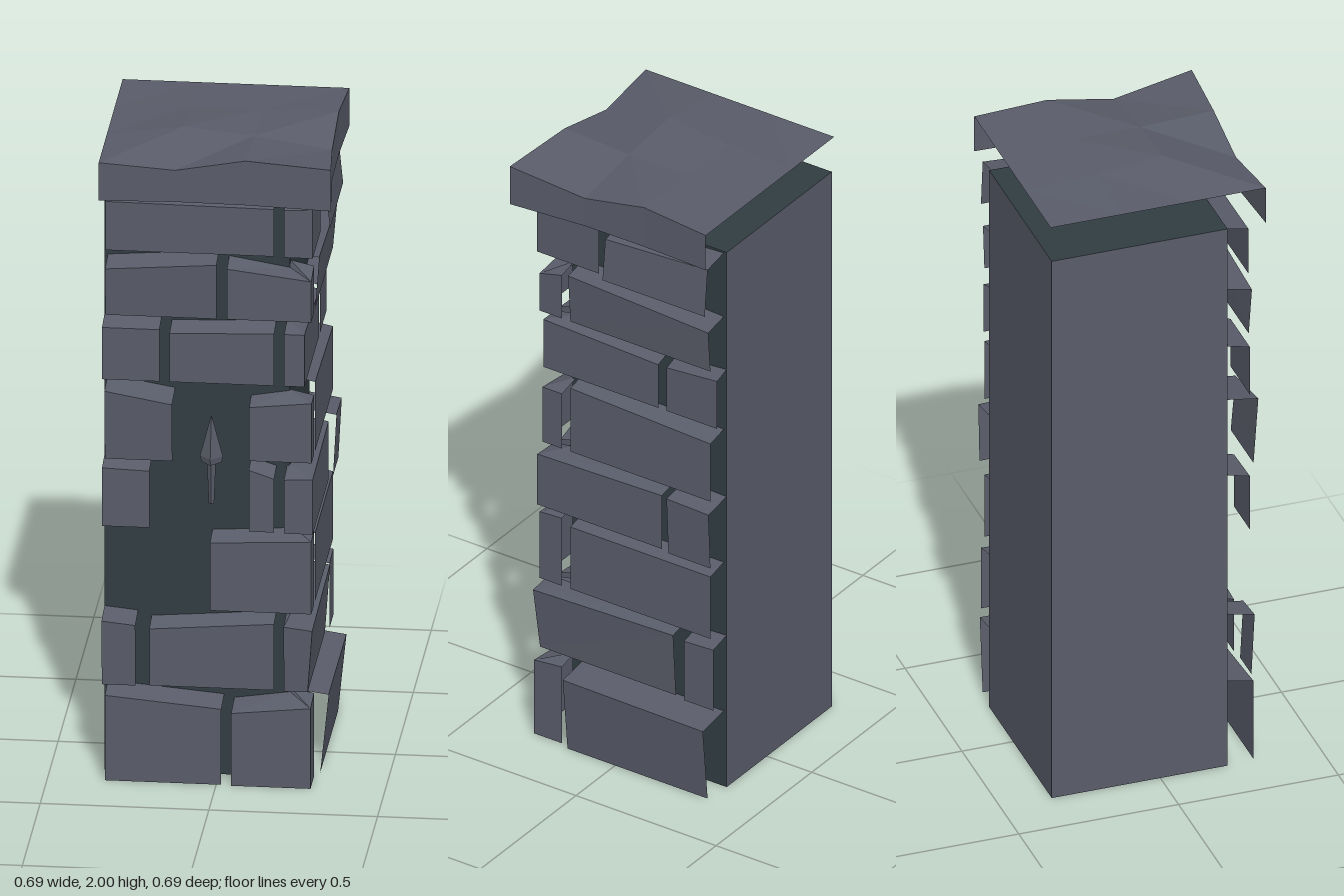
import * as THREE from 'three';

const stone = new THREE.MeshStandardMaterial({ color: 0x595c69, side: THREE.DoubleSide, flatShading: true });
stone.name = 'grey stone';
const mortar = new THREE.MeshStandardMaterial({ color: 0x313d42, side: THREE.DoubleSide, flatShading: true });
mortar.name = 'dark mortar';

const WALL = 0.21; // outer faces of the core on +x and +z
const BACK = -0.34;

// Flat-shaded surface from a list of four-cornered faces
function quads(list, material, name) {
  const pos = [];
  for (const [a, b, c, d] of list) pos.push(...a, ...b, ...c, ...a, ...c, ...d);
  const g = new THREE.BufferGeometry();
  g.setAttribute('position', new THREE.Float32BufferAttribute(pos, 3));
  g.computeVertexNormals();
  const mesh = new THREE.Mesh(g, material);
  mesh.name = name;
  return mesh;
}

// Open brick shell along a plan path of [x, z, topHeight]; its top slopes up to the core.
// lean pushes the upper edge outwards.
function brick(y0, path, lean = 0) {
  const faces = [];
  const low = ([x, z]) => [x, y0, z];
  const high = ([x, z, y]) => [x + (x > 0.22 ? lean : 0), y - 0.016, z + (z > 0.22 ? lean : 0)];
  const inner = ([x, z, y]) => [Math.min(x, WALL), y, Math.min(z, WALL)];
  for (let i = 0; i < path.length - 1; i++) {
    const a = path[i], b = path[i + 1];
    faces.push([low(a), low(b), high(b), high(a)]);
    faces.push([high(a), high(b), inner(b), inner(a)]);
  }
  return quads(faces, stone, 'brick');
}

// Front brick: x range and top heights; side brick: z range and top heights
const front = (y, x0, t0, x1, t1, z = 0.28, lean = 0) => brick(y, [[x0, z, t0], [x1, z, t1]], lean);
const side = (y, z0, t0, z1, t1, x = 0.28, lean = 0) => brick(y, [[x, z0, t0], [x, z1, t1]], lean);
// Corner brick wrapping from the front to the side
const corner = (y, x0, t0, tc, z1, t1, x = 0.28, z = 0.28, lean = 0) =>
  brick(y, [[x0, z, t0], [x, z, tc], [x, z1, t1]], lean);

function makeBricks() {
  const g = new THREE.Group();
  g.name = 'bricks';
  g.add(
    // course 1
    front(0, -0.33, 0.285, 0.015, 0.255, 0.295),
    corner(0, 0.045, 0.245, 0.27, 0.2, 0.28, 0.28, 0.3),
    side(0, 0.17, 0.265, -0.33, 0.26, 0.295, 0.025),
    // course 2
    front(0.3, -0.34, 0.52, -0.24, 0.51, 0.285, 0.01),
    front(0.3, -0.2, 0.495, 0.17, 0.525),
    corner(0.3, 0.2, 0.525, 0.515, -0.2, 0.53, 0.27, 0.285, 0.015),
    side(0.3, -0.235, 0.52, BACK, 0.525),
    // course 3
    corner(0.545, -0.02, 0.775, 0.79, 0.2, 0.795),
    side(0.545, 0.17, 0.775, -0.33, 0.775),
    // course 4
    front(0.8, -0.34, 1.0, -0.2, 0.995),
    front(0.8, 0.095, 1.01, 0.17, 0.985),
    corner(0.8, 0.2, 0.985, 0.99, -0.16, 1.0, 0.285, 0.285),
    side(0.8, -0.19, 1.01, BACK, 1.005, 0.295, 0.01),
    // course 5
    front(1.02, -0.33, 1.255, -0.13, 1.22, 0.295, 0.015),
    corner(1.02, 0.095, 1.205, 1.225, 0.2, 1.225, 0.28, 0.27),
    side(1.02, 0.17, 1.255, -0.33, 1.235),
    // course 6
    front(1.265, -0.34, 1.445, -0.17, 1.445),
    front(1.265, -0.14, 1.435, 0.17, 1.445),
    corner(1.265, 0.2, 1.445, 1.445, -0.13, 1.43, 0.26, 0.28),
    side(1.265, -0.16, 1.43, BACK, 1.445, 0.26),
    // course 7
    front(1.47, -0.33, 1.635, 0.0, 1.66, 0.28, 0.01),
    corner(1.47, 0.03, 1.645, 1.615, 0.2, 1.635, 0.28, 0.28),
    side(1.47, 0.17, 1.65, -0.33, 1.625, 0.28, 0.012),
    // course 8
    front(1.675, -0.33, 1.845, 0.17, 1.84),
    corner(1.675, 0.2, 1.84, 1.845, 0.065, 1.84, 0.285, 0.285),
    side(1.675, 0.035, 1.825, -0.33, 1.845, 0.31, -0.015)
  );
  return g;
}

// Uneven slab: a 4 x 4 grid of heights with hanging edges on the front and +x sides
function makeCap() {
  const steps = [-0.345, -0.12, 0.09, 0.345];
  const edgeX = [0.327, 0.32, 0.322, 0.345]; // +x edge from back to front
  const edgeZ = [0.328, 0.315, 0.32, 0.342]; // front edge from left to right
  const heights = [
    [1.97, 1.97, 1.97, 1.97],
    [1.97, 1.98, 1.98, 1.985],
    [1.97, 2.0, 1.98, 1.945],
    [1.97, 1.95, 1.99, 1.98],
  ];
  const p = (i, j) => [i === 3 ? edgeX[j] : steps[i], heights[j][i], j === 3 ? edgeZ[i] : steps[j]];
  const drop = ([x, , z]) => [x, 1.85, z];
  const top = [], skirt = [];
  for (let k = 0; k < 3; k++) {
    for (let i = 0; i < 3; i++) top.push([p(i, k + 1), p(i + 1, k + 1), p(i + 1, k), p(i, k)]);
    const a = p(k, 3), b = p(k + 1, 3), c = p(3, k + 1), d = p(3, k);
    skirt.push([drop(a), drop(b), b, a], [drop(c), drop(d), d, c]);
  }
  const g = new THREE.Group();
  g.name = 'cap';
  g.add(quads(top, stone, 'capTop'), quads(skirt, stone, 'capEdge'));
  return g;
}

// Small pointed ornament in the recess
function makeSpike() {
  const g = new THREE.Group();
  g.name = 'spike';
  const part = (name, rTop, rBottom, y0, y1) => {
    const m = new THREE.Mesh(new THREE.CylinderGeometry(rTop, rBottom, y1 - y0, 4), stone);
    m.position.y = (y0 + y1) / 2;
    m.name = name;
    g.add(m);
  };
  part('spikePoint', 0, 0.034, 1.02, 1.15);
  part('spikeCollar', 0.034, 0.03, 1.0, 1.02);
  part('spikeShaft', 0.013, 0.008, 0.87, 1.0);
  g.position.set(-0.02, 0, 0.24);
  return g;
}

export function createModel() {
  const model = new THREE.Group();
  model.name = 'stonePillar';

  // Core: stone on the plain sides, mortar behind the bricks
  const w = WALL - BACK;
  const core = new THREE.Mesh(
    new THREE.BoxGeometry(w, 1.85, w),
    [mortar, stone, mortar, mortar, mortar, stone]
  );
  core.name = 'core';
  core.position.set((WALL + BACK) / 2, 0.925, (WALL + BACK) / 2);

  model.add(core, makeBricks(), makeCap(), makeSpike());
  return model;
}
